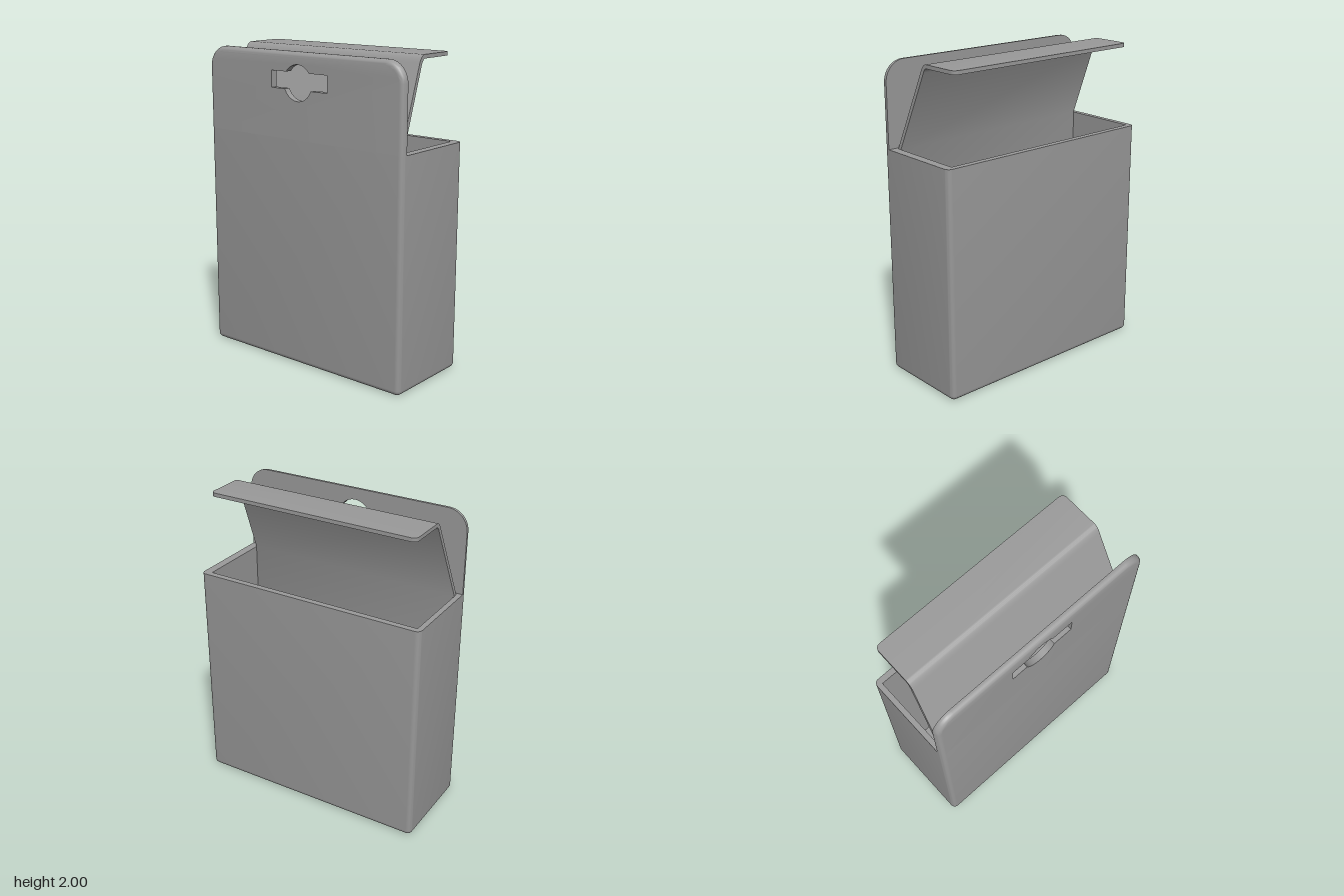
import * as THREE from 'three';
import { mergeGeometries, toCreasedNormals } from 'three/addons/utils/BufferGeometryUtils.js';

const W = 0.77, D = 0.306, RIM = 1.46, TOP = 1.993, R = 0.032, STEPS = 6;
// Cavity, slightly off centre; its front wall runs on into the flap
const LEFT = 0.715, RIGHT = -0.736, FRONT = 0.218, BACK = -0.267, FLOOR = 0.035;

// Skin between successive rings of Vector3
function loft(rings, closed = true) {
  const n = rings[0].length, index = [];
  for (let i = 0; i < rings.length - 1; i++) {
    for (let j = 0; j < (closed ? n : n - 1); j++) {
      const k = (j + 1) % n, a = i * n + j, b = i * n + k, c = b + n, d = a + n;
      index.push(a, b, c, a, c, d);
    }
  }
  const g = new THREE.BufferGeometry().setFromPoints(rings.flat());
  g.setIndex(index);
  return g;
}

// Flat face from outline points, with optional hole
function cap(points, hole, flip) {
  const shape = new THREE.Shape(points);
  if (hole) shape.holes.push(new THREE.Path(hole));
  const g = new THREE.ShapeGeometry(shape);
  if (flip) g.setIndex(Array.from(g.index.array).reverse());
  return g;
}

function makeMesh(name, parts) {
  for (const g of parts) {
    g.deleteAttribute('normal');
    g.deleteAttribute('uv');
  }
  const mesh = new THREE.Mesh(
    toCreasedNormals(mergeGeometries(parts), 0.6),
    new THREE.MeshStandardMaterial({ color: 0x9a9a9a })
  );
  mesh.name = name;
  return mesh;
}

// Points of an arc, counterclockwise when a1 > a0
function arc(cx, cy, r, a0, a1, steps) {
  return Array.from({ length: steps + 1 }, (_, i) => {
    const a = a0 + (a1 - a0) * i / steps;
    return new THREE.Vector2(cx + r * Math.cos(a), cy + r * Math.sin(a));
  });
}

function roundedRect(w, d, r) {
  const q = Math.PI / 2;
  return [[1, 1], [-1, 1], [-1, -1], [1, -1]].flatMap(([sx, sy], i) =>
    arc(sx * (w - r), sy * (d - r), r, i * q, (i + 1) * q, STEPS));
}

const atY = (pts, y) => pts.map(p => new THREE.Vector3(p.x, y, -p.y));
const atZ = (pts, z) => pts.map(p => new THREE.Vector3(p.x, p.y, z));
const layFlat = (g, y) => g.rotateX(-Math.PI / 2).translate(0, y, 0);

// Open box: filleted outside, flat rim, sharp-cornered cavity
function box() {
  const outlines = [], rings = [];
  for (let i = 0; i <= STEPS; i++) {
    const a = i / STEPS * Math.PI / 2, inset = R * (1 - Math.sin(a));
    const o = roundedRect(W - inset, D - inset, Math.max(R - inset, 0.004));
    outlines.push(o);
    rings.push(atY(o, R * (1 - Math.cos(a))));
  }
  const outer = outlines[STEPS];
  rings.push(atY(outer, RIM));
  const cavity = [[LEFT, FRONT], [LEFT, BACK], [RIGHT, BACK], [RIGHT, FRONT]]
    .map(([x, z]) => new THREE.Vector2(x, -z));
  return makeMesh('box', [
    loft(rings),
    layFlat(cap(outlines[0], null, true), 0),
    layFlat(cap(outer, cavity), RIM),
    loft([atY(cavity, RIM), atY(cavity, FLOOR)], false),
    layFlat(cap(cavity), FLOOR),
  ]);
}

// Raised front panel with hanging slot, filleted on its front edge
function hangingPanel() {
  const corner = 0.13, back = 0.263;
  const outline = inset => [
    new THREE.Vector2(W - inset, RIM),
    ...arc(W - corner, TOP - corner, corner - inset, 0, Math.PI / 2, 10),
    ...arc(corner - W, TOP - corner, corner - inset, Math.PI / 2, Math.PI, 10),
    new THREE.Vector2(inset - W, RIM),
  ];
  const rings = [atZ(outline(0), back)];
  for (let i = 0; i <= STEPS; i++) {
    const a = i / STEPS * Math.PI / 2;
    rings.push(atZ(outline(R * (1 - Math.cos(a))), D - R + R * Math.sin(a)));
  }
  // Round hole crossed by a rectangular slot
  const cx = -0.013, cy = 1.808, r = 0.111, low = 1.767, high = 1.872;
  const aHigh = Math.asin((high - cy) / r), aLow = Math.asin((low - cy) / r);
  const v = (x, y) => new THREE.Vector2(x, y);
  const hole = [
    v(0.22, low), v(0.22, high),
    ...arc(cx, cy, r, aHigh, Math.PI - aHigh, 16),
    v(-0.225, high), v(-0.225, low),
    ...arc(cx, cy, r, Math.PI - aLow, 2 * Math.PI + aLow, 20),
  ];
  return makeMesh('hangingPanel', [
    loft(rings, false),
    cap(outline(R), hole).translate(0, 0, D),
    cap(outline(0), hole, true).translate(0, 0, back),
    loft([atZ(hole, D), atZ(hole, back)]),
  ]);
}

// Lid flap: inner front wall, leaning part, soft bend, flat tongue with rounded corners
function lidFlap() {
  const y = 1.988, half = 0.012, tip = -0.27, taper = 0.03;
  const ring = (py, pz, inset, ny, nz) =>
    [[RIGHT + inset, 1], [LEFT - inset, 1], [LEFT - inset, -1], [RIGHT + inset, -1]].map(([x, s]) =>
      new THREE.Vector3(x, py + s * ny * half, pz + s * nz * half));
  const rings = [ring(RIM, FRONT + half * 1.1, 0, 0, 1.1)];
  const bend = new THREE.QuadraticBezierCurve(
    new THREE.Vector2(0.026, 1.945), new THREE.Vector2(0.008, y), new THREE.Vector2(-0.015, y));
  for (let i = 0; i <= 8; i++) {
    const p = bend.getPoint(i / 8), d = bend.getTangent(i / 8);
    rings.push(ring(p.y, p.x, taper, -d.x, d.y));
  }
  for (let i = 0; i <= STEPS; i++) {
    const a = i / STEPS * Math.PI / 2;
    rings.push(ring(y, tip + R - R * Math.sin(a), taper + R * (1 - Math.cos(a)), 1, 0));
  }
  rings.push(ring(y, tip, taper + R, 0, 0));
  const wall = [RIM, FLOOR].map(h => [RIGHT, LEFT].map(x => new THREE.Vector3(x, h, FRONT)));
  return makeMesh('lidFlap', [loft(rings), loft(wall, false)]);
}

export function createModel() {
  const model = new THREE.Group();
  model.name = 'hangingBox';
  model.add(box(), hangingPanel(), lidFlap());
  return model;
}
